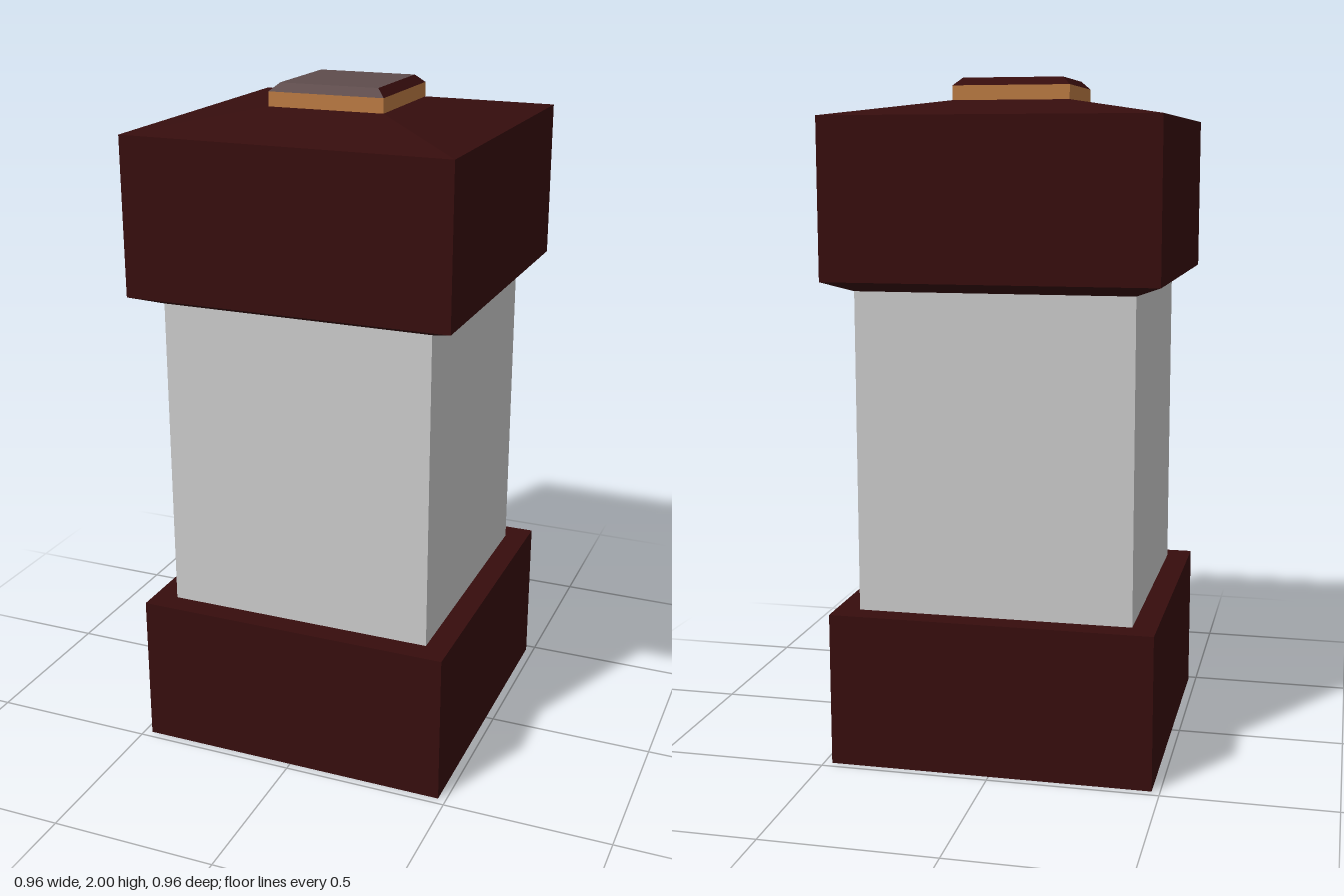
import * as THREE from 'three';

const maroon = new THREE.MeshStandardMaterial({ name: 'dark maroon', color: 0x360d0d });
const grey = new THREE.MeshStandardMaterial({ name: 'light grey', color: 0xcacaca });
const orange = new THREE.MeshStandardMaterial({ name: 'copper orange', color: 0xba7a42 });
const dusty = new THREE.MeshStandardMaterial({ name: 'dusty brown grey', color: 0x5e4c4c });

// Square block between heights y0 and y1 with half widths h0 (bottom) and h1 (top).
// Side faces come in the order +x, -z, -x, +z, followed by the top and bottom.
function squareBlock(name, y0, y1, h0, h1, material, openEnded = false) {
  const geometry = new THREE.CylinderGeometry(
    h1 * Math.SQRT2, h0 * Math.SQRT2, y1 - y0, 4, 1, openEnded, Math.PI / 4
  ).toNonIndexed();
  geometry.computeVertexNormals();
  const mesh = new THREE.Mesh(geometry, material);
  mesh.name = name;
  mesh.position.y = (y0 + y1) / 2;
  return mesh;
}

export function createModel() {
  const model = new THREE.Group();
  model.name = 'squareCanister';

  // Base and central column
  model.add(squareBlock('base', 0, 0.455, 0.476, 0.476, maroon));
  model.add(squareBlock('column', 0.455, 1.4, 0.405, 0.405, grey, true));

  // Cap: underside bevel, straight walls, shallow sloped roof
  const cap = new THREE.Group();
  cap.name = 'cap';
  cap.add(squareBlock('capUnderside', 1.395, 1.425, 0.405, 0.482, maroon, true));
  cap.add(squareBlock('capWalls', 1.425, 1.885, 0.482, 0.482, maroon, true));
  cap.add(squareBlock('capRoof', 1.885, 1.935, 0.482, 0.173, maroon));
  model.add(cap);

  // Button: copper band with a bevelled lid, dusty on its top and front
  const button = new THREE.Group();
  button.name = 'button';
  button.add(squareBlock('buttonBand', 1.93, 1.977, 0.173, 0.173, orange));
  const lid = squareBlock('buttonLid', 1.977, 2, 0.173, 0.148, [maroon, dusty]);
  lid.geometry.clearGroups();
  lid.geometry.addGroup(0, 18, 0);
  lid.geometry.addGroup(18, 18, 1);
  lid.geometry.addGroup(36, 12, 0);
  button.add(lid);
  model.add(button);

  return model;
}
